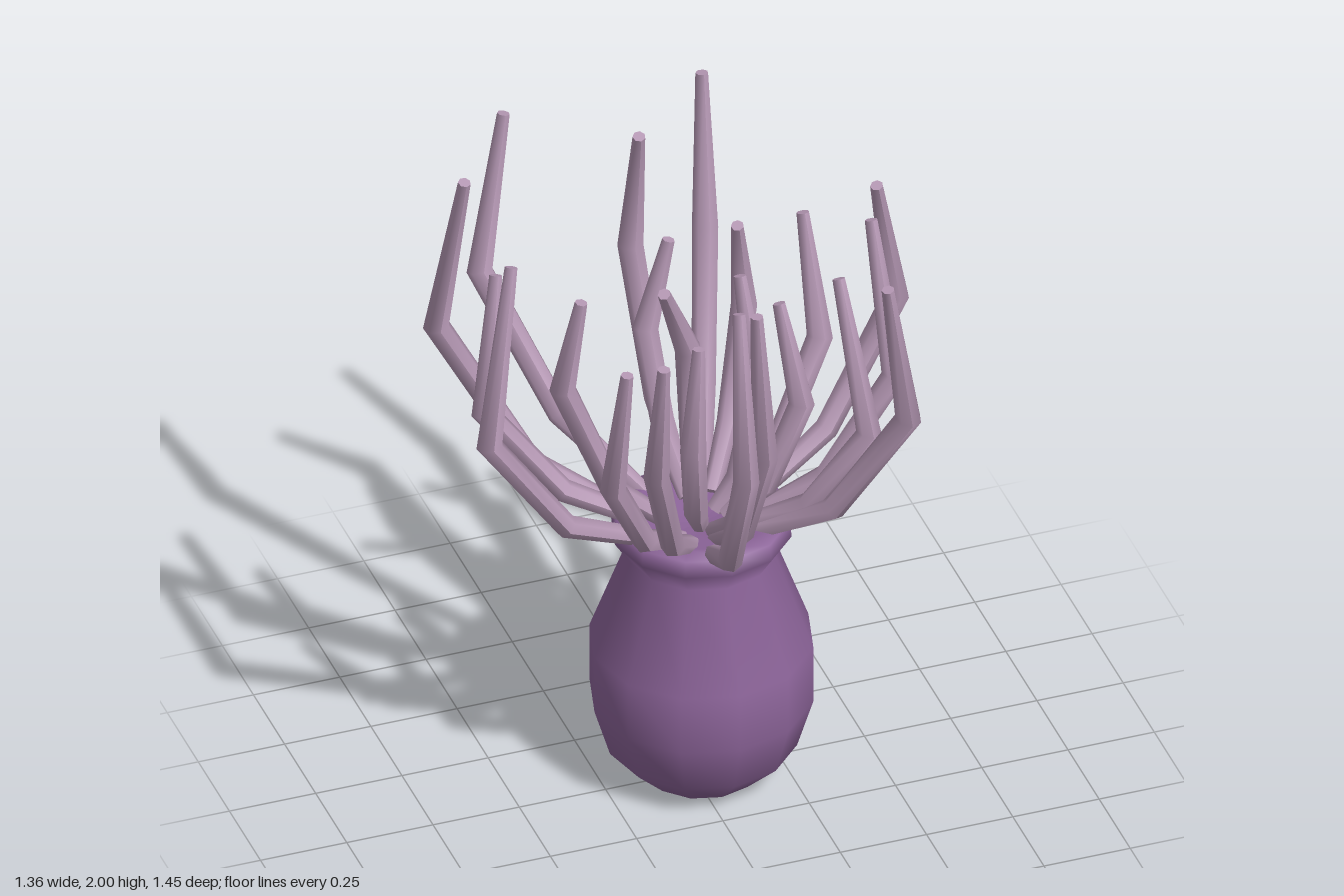
import * as THREE from 'three';

const CX = 0.035, CZ = -0.02; // axis of the vase-shaped body
const UP = new THREE.Vector3(0, 1, 0);

// Each tentacle: elbow x, y, z, then tip x, y, z
const TENTACLES = [
  [-0.38, 1.33, -0.65, -0.29, 1.79, -0.71],
  [0.27, 1.33, -0.64, 0.285, 1.79, -0.71],
  [0.05, 1.33, -0.63, 0.02, 1.79, -0.48],
  [0.3, 1.22, -0.41, 0.24, 1.56, -0.3],
  [0.01, 1.21, -0.4, 0.08, 1.48, -0.41],
  [0.09, 1.2, -0.28, -0.03, 1.5, -0.14],
  [0.44, 1.22, -0.19, 0.43, 1.56, -0.3],
  [0.65, 1.33, -0.16, 0.55, 1.79, -0.04],
  [0.53, 1.3, 0.16, 0.52, 1.71, 0.0],
  [0.41, 1.22, 0.29, 0.39, 1.61, 0.1],
  [0.48, 1.33, 0.41, 0.41, 1.79, 0.44],
  [0.29, 1.21, 0.08, 0.26, 1.48, -0.02],
  [0.2, 1.2, -0.02, 0.19, 1.51, -0.14],
  [0.05, 1.33, 0.45, 0.03, 1.79, 0.44],
  [0.06, 1.22, 0.33, 0.07, 1.48, 0.22],
  [-0.26, 1.33, 0.44, -0.25, 1.7, 0.47],
  [-0.34, 1.22, 0.31, -0.31, 1.61, 0.34],
  [-0.09, 1.44, 0.69, -0.05, 1.87, 0.52],
  [-0.06, 1.2, 0.18, -0.03, 1.5, 0.14],
  [-0.64, 1.33, 0.15, -0.52, 1.79, -0.01],
  [-0.36, 1.33, -0.04, -0.31, 1.61, -0.03],
  [-0.64, 1.45, -0.28, -0.605, 2.0, -0.15],
  [-0.54, 1.21, -0.17, -0.46, 1.56, -0.3],
];
const RADII = [0.026, 0.034, 0.037, 0.018];

// Bent, tapering tube: the rings of a cylinder are moved onto the path points
function tentacleGeometry(points) {
  const geometry = new THREE.CylinderGeometry(1, 1, 1, 7, 3);
  const frames = points.map((p, i) => {
    const into = points[i].clone().sub(points[Math.max(i - 1, 0)]).normalize();
    const out = points[Math.min(i + 1, 3)].clone().sub(p).normalize();
    return new THREE.Quaternion().setFromUnitVectors(UP, into.add(out).normalize());
  });
  const pos = geometry.attributes.position;
  const v = new THREE.Vector3();
  for (let i = 0; i < pos.count; i++) {
    const ring = Math.round((pos.getY(i) + 0.5) * 3);
    v.set(pos.getX(i), 0, pos.getZ(i)).multiplyScalar(RADII[ring]);
    v.applyQuaternion(frames[ring]).add(points[ring]);
    pos.setXYZ(i, v.x, v.y, v.z);
  }
  geometry.computeVertexNormals();
  return geometry;
}

export function createModel() {
  const group = new THREE.Group();
  const bodyMaterial = new THREE.MeshStandardMaterial({ color: 0x8c6499, side: THREE.DoubleSide });
  const tentacleMaterial = new THREE.MeshStandardMaterial({ color: 0xb598b4 });

  // Bulbous body with a flared lip and a shallow dish on top
  const profile = [
    [0, 0], [0.165, 0.002], [0.265, 0.1], [0.31, 0.25], [0.31, 0.43],
    [0.205, 0.72], [0.25, 0.79], [0.245, 0.84], [0.19, 0.845], [0, 0.81],
  ].map(([r, y]) => new THREE.Vector2(r, y));
  const body = new THREE.Mesh(new THREE.LatheGeometry(profile, 12), bodyMaterial);
  body.name = 'body';
  body.position.set(CX, 0, CZ);
  group.add(body);

  // Tentacles: rooted in the dish, spreading outward, then bending up at the elbow
  const tentacles = new THREE.Group();
  tentacles.name = 'tentacles';
  TENTACLES.forEach(([ex, ey, ez, tx, ty, tz]) => {
    const elbow = new THREE.Vector3(ex, ey, ez);
    const reach = Math.hypot(ex - CX, ez - CZ);
    const along = (f, y) => new THREE.Vector3(CX + (ex - CX) * f, y, CZ + (ez - CZ) * f);
    const rootY = 0.85 - 0.03 * Math.min(1, reach / 0.6);
    const points = [
      along(0.24, rootY),
      along(0.64, 0.84 + 0.26 * (ey - 0.84)),
      elbow,
      new THREE.Vector3(tx, ty, tz),
    ];
    const mesh = new THREE.Mesh(tentacleGeometry(points), tentacleMaterial);
    mesh.name = 'tentacle';
    tentacles.add(mesh);
  });
  group.add(tentacles);
  return group;
}
